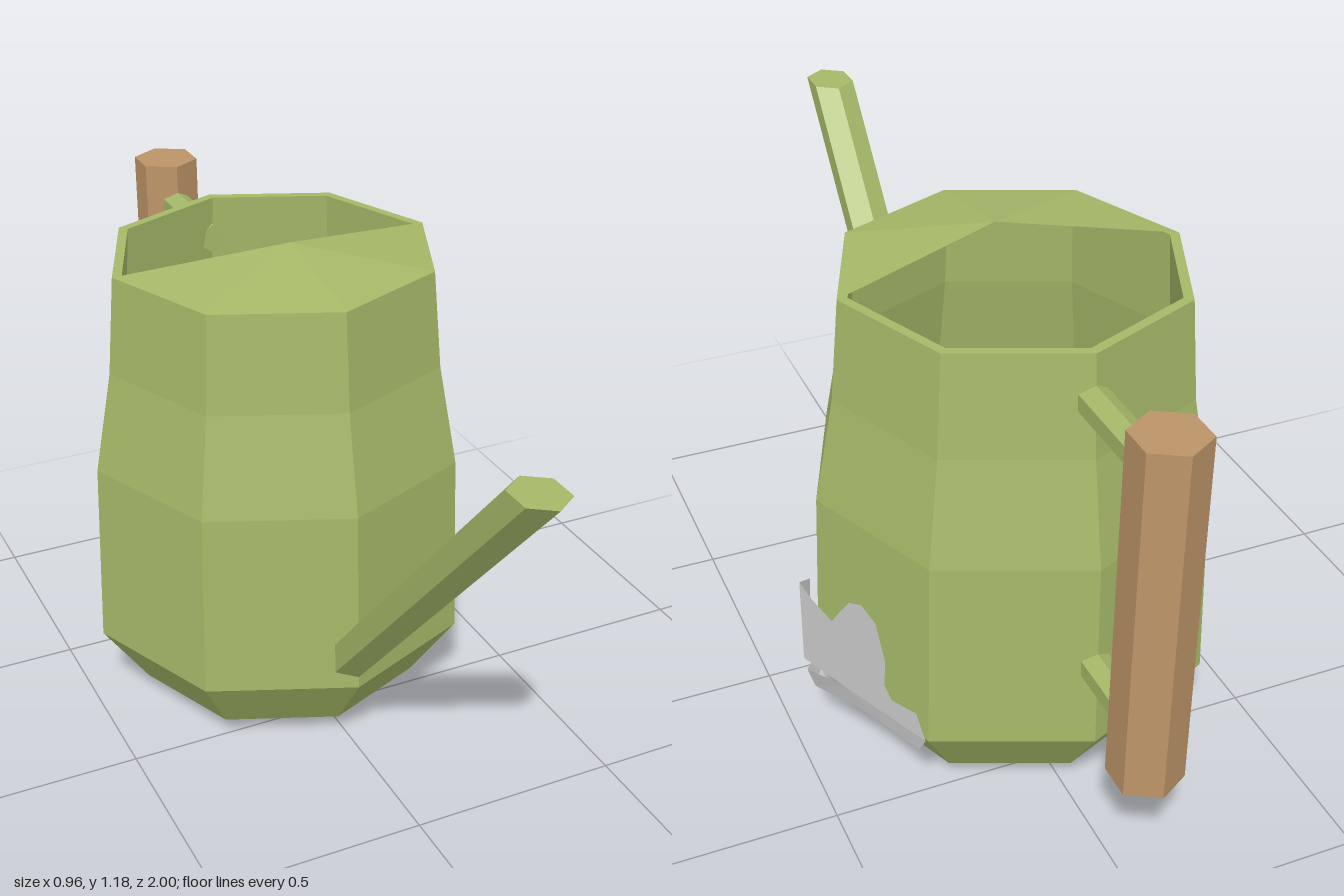
import * as THREE from 'three';

const CX = -0.02, CZ = -0.24; // axis of the can body

const paint = (color, side = THREE.FrontSide) =>
  new THREE.MeshStandardMaterial({ color, side, flatShading: true });

export function createModel() {
  const model = new THREE.Group();
  const green = paint(0xa5b868);
  const greenThin = paint(0xa5b868, THREE.DoubleSide);
  const wood = paint(0xbc9468);
  const grey = paint(0xcccccc, THREE.DoubleSide);

  const add = (name, geometry, material, x = 0, y = 0, z = 0) => {
    const mesh = new THREE.Mesh(geometry, material);
    mesh.name = name;
    mesh.position.set(x, y, z);
    model.add(mesh);
    return mesh;
  };

  // Eight-sided body: outer wall, rim, inner wall and floor in one profile
  const profile = [
    [0, 0], [0.23, 0], [0.355, 0.05], [0.465, 0.21], [0.45, 0.66], [0.405, 0.9], [0.385, 1.13],
    [0.362, 1.13], [0.38, 0.9], [0.425, 0.66], [0.44, 0.22], [0.34, 0.075], [0.23, 0.03], [0, 0.03],
  ].map(([r, y]) => new THREE.Vector2(r, y));
  add('body', new THREE.LatheGeometry(profile, 8), green, CX, 0, CZ);

  // Half cover over the front of the opening, a fan around a raised point
  const cover = [];
  const rim = (i) => {
    const a = -Math.PI / 2 + i * Math.PI / 4;
    return [0.385 * Math.sin(a), 1.13, 0.385 * Math.cos(a)];
  };
  for (let i = 0; i < 4; i++) cover.push(0, 1.183, 0.1, ...rim(i), ...rim(i + 1));
  const coverGeometry = new THREE.BufferGeometry();
  coverGeometry.setAttribute('position', new THREE.Float32BufferAttribute(cover, 3));
  coverGeometry.computeVertexNormals();
  add('frontCover', coverGeometry, greenThin, CX, 0, CZ);

  // Spout: six-sided tube slanted forward, with level ends
  const spout = new THREE.CylinderGeometry(0.0577, 0.0577, 0.92, 6);
  spout.scale(1, 1, 1.21);
  spout.applyMatrix4(new THREE.Matrix4().makeShear(0, 0, 0, 0, 0, 0));
  const p = spout.attributes.position;
  for (let i = 0; i < p.count; i++) p.setZ(i, p.getZ(i) + (p.getY(i) - 0.46) * 0.897);
  spout.computeVertexNormals();
  add('spout', spout, green, CX, 0.64, 0.927);

  // Wooden grip and the two bars that hold it
  add('handleGrip', new THREE.CylinderGeometry(0.08, 0.08, 0.815, 6), wood, CX, 0.7225, -0.921);
  for (const [name, y, start] of [['upperHandleBar', 1.025, -0.6], ['lowerHandleBar', 0.41, -0.66]]) {
    const length = start + 0.88;
    const bar = new THREE.CylinderGeometry(0.037, 0.037, length, 6);
    bar.rotateX(Math.PI / 2);
    add(name, bar, green, CX, y, start - length / 2);
  }

  // Thin patch on the left flank, outlines as (z, y), bent to follow the body
  const patch = new THREE.Group();
  patch.name = 'sidePatch';
  const FOLD = -0.235;
  const wrap = (z, y) =>
    0.477 + (z < FOLD ? (z - FOLD) * 0.42 : -(z - FOLD) * 1.0) - Math.max(0, 0.22 - y) * 0.3;
  const pieces = {
    patchSheet: [
      [-0.235, 0.45], [-0.27, 0.425], [-0.33, 0.4], [-0.355, 0.44], [-0.385, 0.485], [-0.42, 0.5],
      [-0.46, 0.475], [-0.485, 0.385], [-0.48, 0.32], [-0.5, 0.29], [-0.57, 0.3], [-0.595, 0.24],
      [-0.565, 0.19], [-0.48, 0.195], [-0.4, 0.19], [-0.35, 0.235], [-0.235, 0.235],
    ],
    patchFlap: [[-0.235, 0.45], [-0.2, 0.425], [-0.205, 0.34], [-0.22, 0.235], [-0.235, 0.235]],
    patchStem: [[-0.235, 0.2], [-0.36, 0.235], [-0.4, 0.19], [-0.235, 0.145]],
    patchStemEnd: [[-0.235, 0.2], [-0.235, 0.145], [-0.195, 0.17], [-0.195, 0.205]],
  };
  for (const [name, outline] of Object.entries(pieces)) {
    const shape = new THREE.Shape(outline.map(([z, y]) => new THREE.Vector2(-z, y)));
    const sheet = new THREE.ShapeGeometry(shape);
    const q = sheet.attributes.position;
    for (let i = 0; i < q.count; i++) {
      const z = -q.getX(i), y = q.getY(i);
      q.setXYZ(i, wrap(z, y), y, z);
    }
    sheet.computeVertexNormals();
    const mesh = new THREE.Mesh(sheet, grey);
    mesh.name = name;
    patch.add(mesh);
  }
  model.add(patch);

  return model;
}
